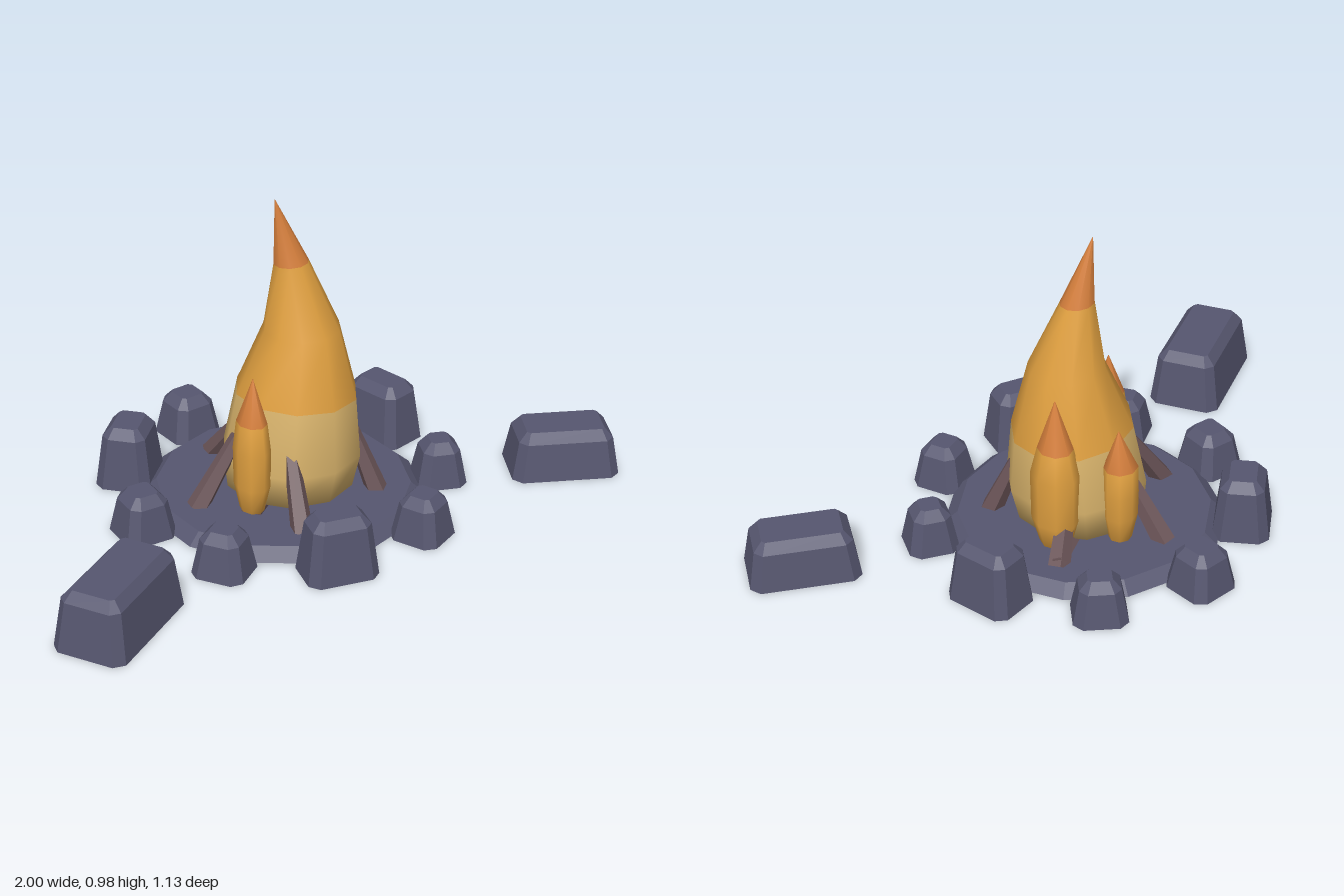
import * as THREE from 'three';

const mat = (name, color, side = THREE.FrontSide) => {
  const m = new THREE.MeshStandardMaterial({ color, side });
  m.name = name;
  return m;
};

// Skin a stack of rings (listed bottom to top) and close the top, and the bottom if asked.
// bands[k] is the material index of the strip above ring k.
function loft(rings, bands, closeBottom) {
  const n = rings[0].length;
  const pos = rings.flat(2);
  const geo = new THREE.BufferGeometry();
  const index = [];
  const addGroup = (start, m) => geo.addGroup(start, index.length - start, m);
  const cap = (k, up, m) => {
    const start = index.length;
    const c = pos.length / 3;
    pos.push(...[0, 1, 2].map(a => rings[k].reduce((s, p) => s + p[a], 0) / n));
    for (let i = 0; i < n; i++) {
      const a = k * n + i, b = k * n + (i + 1) % n;
      index.push(c, up ? a : b, up ? b : a);
    }
    addGroup(start, m);
  };
  if (closeBottom) cap(0, false, bands[0]);
  for (let k = 0; k < rings.length - 1; k++) {
    const start = index.length;
    for (let i = 0; i < n; i++) {
      const j = (i + 1) % n, a = k * n, b = a + n;
      index.push(a + i, a + j, b + j, a + i, b + j, b + i);
    }
    addGroup(start, bands[k]);
  }
  cap(rings.length - 1, true, bands.at(-1));
  geo.setAttribute('position', new THREE.Float32BufferAttribute(pos, 3));
  geo.setIndex(index);
  geo.computeVertexNormals();
  return geo;
}

function faceted(geo) {
  const g = geo.toNonIndexed();
  g.computeVertexNormals();
  return g;
}

// Elliptical ring; tilt lowers or raises its +x side
function roundRing(sides, y, cx, cz, rx, rz, tilt = 0) {
  return Array.from({ length: sides }, (_, i) => {
    const a = (i / sides) * Math.PI * 2;
    return [cx + rx * Math.sin(a), y + tilt * Math.sin(a), cz + rz * Math.cos(a)];
  });
}

// Hollow chamfered block: clipped-corner outline that steps inward towards the top
function stoneGeometry(w, d, h) {
  const ring = (y, inset, k) => {
    const x = w / 2 - inset, z = d / 2 - inset;
    return [[-x + k, z], [x - k, z], [x, z - k], [x, -z + k],
      [x - k, -z], [-x + k, -z], [-x, -z + k], [-x, z - k]].map(p => [p[0], y, p[1]]);
  };
  return faceted(loft([ring(0, 0, 0.028), ring(h - 0.03, 0.02, 0.024), ring(h, 0.046, 0.01)], [0, 0], false));
}

// Flame from rows of [y, centre x, centre z, radius x, radius z, tilt]
const flameGeometry = (rows, bands, sides) =>
  loft(rows.map(row => roundRing(sides, ...row)), bands, true);

export function createModel() {
  const model = new THREE.Group();
  model.name = 'campfire';
  const stone = mat('slate stone', 0x56566f, THREE.DoubleSide);
  const wood = mat('charred wood', 0x6b5558);
  const pale = mat('pale flame', 0xd6b16a);
  const amber = mat('amber flame', 0xe0a040);
  const orange = mat('orange flame', 0xd57f3c);

  const add = (name, geo, material, parent = model) => {
    const mesh = new THREE.Mesh(geo, material);
    mesh.name = name;
    parent.add(mesh);
    return mesh;
  };

  // Fire pit floor: a shallow plate with a sloping rim, open underneath
  add('pitFloor', faceted(loft([
    roundRing(14, 0.003, 0.025, 0, 0.43, 0.43),
    roundRing(14, 0.038, 0.025, 0, 0.39, 0.39),
  ], [0], false)), stone);

  // Ring of stones, then two seats: x, z, width, depth, height, turn in degrees
  const stones = new THREE.Group();
  stones.name = 'stones';
  model.add(stones);
  [
    [0.008, -0.485, 0.17, 0.17, 0.14, 0],
    [-0.298, -0.36, 0.205, 0.175, 0.195, 40],
    [0.323, -0.383, 0.165, 0.155, 0.14, -38],
    [-0.45, -0.067, 0.165, 0.172, 0.14, -6],
    [0.50, -0.105, 0.172, 0.225, 0.195, 9],
    [-0.382, 0.253, 0.16, 0.165, 0.14, 30],
    [0.457, 0.222, 0.155, 0.16, 0.14, -25],
    [-0.123, 0.455, 0.22, 0.165, 0.195, -17],
    [0.207, 0.447, 0.165, 0.16, 0.14, 20],
    [-0.785, 0.307, 0.395, 0.23, 0.185, 27],
    [0.815, 0.388, 0.335, 0.215, 0.15, -30],
  ].forEach(([x, z, w, d, h, turn], i) => {
    const s = add(i < 9 ? 'ringStone' : 'seatStone', stoneGeometry(w, d, h), stone, stones);
    s.position.set(x, 0, z);
    s.rotation.y = THREE.MathUtils.degToRad(turn);
  });

  // Sticks: each runs from its foot to its tip
  const sticks = new THREE.Group();
  sticks.name = 'sticks';
  model.add(sticks);
  [
    [[-0.035, 0.025, -0.29], [-0.01, 0.24, -0.12]],
    [[0.28, 0.025, -0.16], [0.16, 0.23, -0.08]],
    [[-0.27, 0.025, -0.04], [-0.13, 0.24, -0.02]],
    [[0.23, 0.025, 0.20], [0.185, 0.225, 0.13]],
    [[-0.105, 0.025, 0.265], [-0.06, 0.245, 0.145]],
    [[-0.17, 0.033, 0.10], [0.29, 0.045, -0.17]],
  ].forEach(([foot, tip], i) => {
    const a = new THREE.Vector3(...foot), b = new THREE.Vector3(...tip);
    const dir = b.clone().sub(a);
    const geo = faceted(new THREE.CylinderGeometry(0.022, 0.036, dir.length(), 5));
    const s = add(i < 5 ? 'leaningStick' : 'lyingStick', geo, wood, sticks);
    s.position.copy(a).add(b).multiplyScalar(0.5);
    s.quaternion.setFromUnitVectors(new THREE.Vector3(0, 1, 0), dir.normalize());
  });

  // Main flame: pale foot, amber body, orange tip
  add('mainFlame', flameGeometry([
    [0.055, 0.04, 0.01, 0.198, 0.2],
    [0.16, 0.045, 0.015, 0.217, 0.215],
    [0.35, 0.062, 0.015, 0.19, 0.185, -0.015],
    [0.56, 0.075, 0.022, 0.118, 0.118],
    [0.775, 0.047, 0.006, 0.056, 0.048],
    [0.98, 0, -0.01, 0.001, 0.001],
  ], [0, 0, 1, 1, 2], 10), [pale, amber, orange]);

  // Side flames: x, z, radius x, radius z, colour change height, shoulder, tip height, tip x, tip z
  [
    [0.215, -0.078, 0.072, 0.08, 0.38, 0.72, 0.535, 0.205, -0.067],
    [-0.157, 0.085, 0.052, 0.065, 0.34, 0.82, 0.475, -0.145, 0.075],
    [0.06, -0.195, 0.056, 0.052, 0.30, 0.98, 0.42, 0.06, -0.185],
  ].forEach(([x, z, rx, rz, mid, shoulder, top, tx, tz]) => {
    add('sideFlame', flameGeometry([
      [0.045, x, z, rx * 0.65, rz * 0.65],
      [0.13, x, z, rx * 0.97, rz * 0.97],
      [mid - 0.09, x, z, rx, rz],
      [mid, x, z, rx * shoulder, rz * shoulder],
      [top, tx, tz, 0.001, 0.001],
    ], [0, 0, 0, 1], 8), [amber, orange]);
  });

  return model;
}
